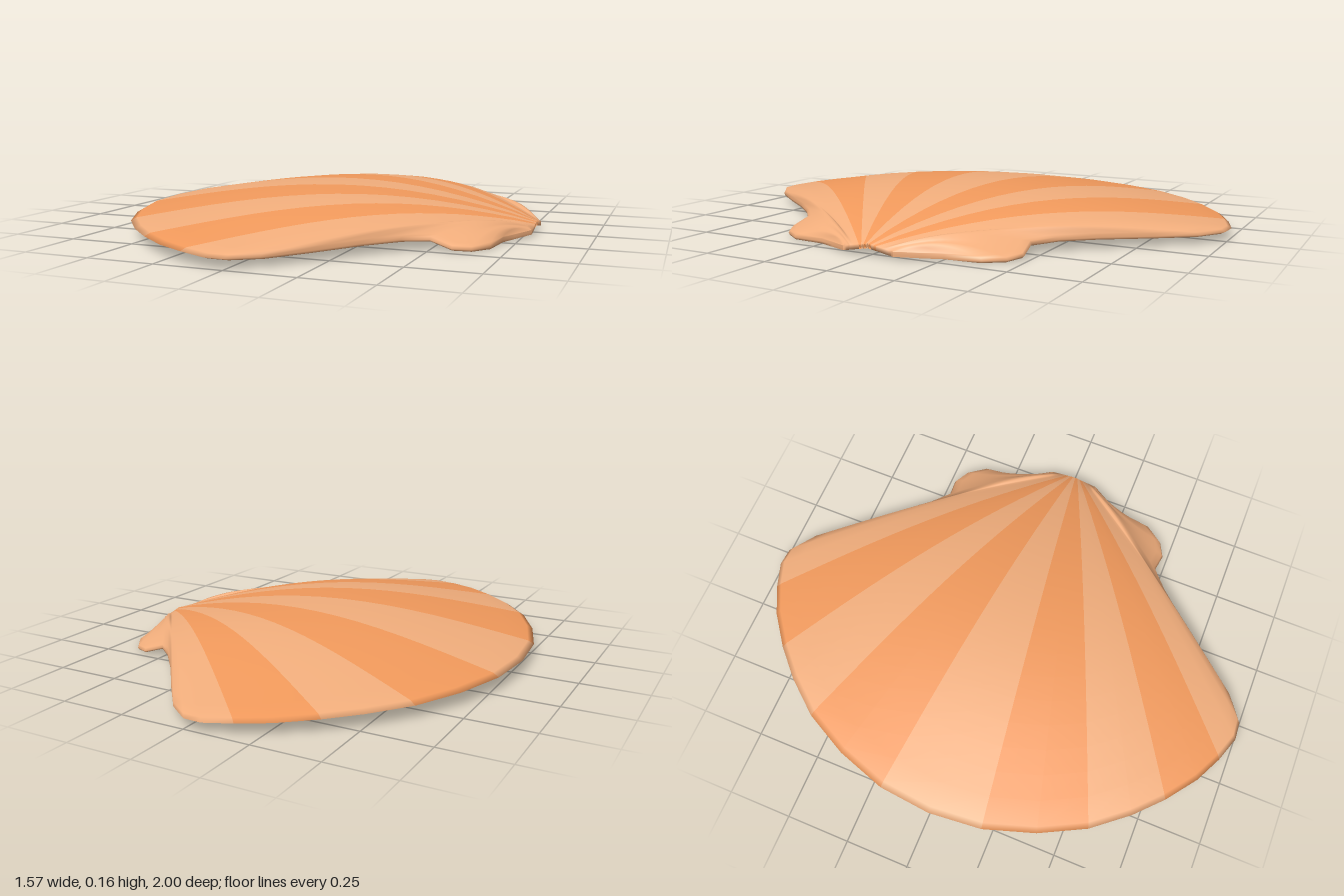
import * as THREE from 'three';

const LIGHT = new THREE.MeshStandardMaterial({ color: 0xf2ae7c });
const DARK = new THREE.MeshStandardMaterial({ color: 0xf29a5c });
const STEPS = 16, THICK = 0.017, HINGE_X = 0.78, HINGE_Z = 0.1;

// Half of the rim, middle to side: x, z, height of the top, bulge along the rib;
// the ribs of the ear also have the x, z of a control point that bends them
const RIM = [
  [-0.79, 0, 0.062, 0.107], [-0.77, 0.21, 0.062, 0.106], [-0.705, 0.41, 0.061, 0.104],
  [-0.615, 0.585, 0.06, 0.1], [-0.505, 0.72, 0.059, 0.095], [-0.4, 0.82, 0.057, 0.088],
  [-0.28, 0.91, 0.054, 0.08], [-0.17, 0.965, 0.051, 0.07], [-0.07, 1, 0.047, 0.06],
  [0, 0.995, 0.046, 0.054], [0.09, 0.93, 0.045, 0.048], [0.2, 0.8, 0.048, 0.044],
  [0.32, 0.65, 0.052, 0.041], [0.42, 0.54, 0.053, 0.039], [0.5, 0.47, 0.047, 0.037],
  [0.58, 0.48, 0.023, 0.034, 0.63, 0.27], [0.64, 0.45, 0.018, 0.03, 0.65, 0.25],
  [0.69, 0.38, 0.018, 0.024, 0.67, 0.23], [0.705, 0.25, 0.02, 0.016, 0.71, 0.185],
  [0.735, 0.18, 0.022, 0.008, 0.745, 0.14], [0.78, 0.1, 0.028, 0],
];
const LAST = RIM.length - 1;
const BAND_EDGES = [1, 3, 5, 7]; // rim points where the colour changes

// Point on the upper surface of a rib, t = 0 at the hinge and 1 at the rim
function ribPoint(index, t) {
  const f = Math.abs(index) / LAST, side = Math.sign(index);
  const [x, z, y, bulge, bendX = (HINGE_X + x) / 2, bendZ = (HINGE_Z * f + z) / 2] = RIM[Math.abs(index)];
  const hingeY = 0.046 - 0.018 * f;
  const rib = new THREE.QuadraticBezierCurve3(
    new THREE.Vector3(HINGE_X, hingeY, side * HINGE_Z * f),
    new THREE.Vector3(bendX, (hingeY + y) / 2, side * bendZ),
    new THREE.Vector3(x, y, side * z),
  );
  const p = rib.getPoint(t);
  p.y += bulge * Math.sin(Math.PI * Math.pow(t, 0.9));
  return p;
}

// Closed thin section: along the top, round the rim and back underneath
function section(index) {
  const top = [];
  for (let j = 0; j <= STEPS; j++) top.push(ribPoint(index, 0.985 * j / STEPS));
  const edge = ribPoint(index, 1);
  edge.y -= THICK / 2;
  const under = top.map((p) => new THREE.Vector3(p.x, p.y - THICK, p.z)).reverse();
  return [...top, edge, ...under];
}

// Vertices and smooth normals of a skin over the sections; strip i joins i and i + 1
function loft(sections) {
  const n = sections[0].length;
  const geometry = new THREE.BufferGeometry().setFromPoints(sections.flat());
  const strips = [];
  for (let i = 0; i < sections.length - 1; i++) {
    const strip = [];
    for (let j = 0; j < n; j++) {
      const a = i * n + j, b = i * n + (j + 1) % n;
      strip.push(a, b, a + n, b, b + n, a + n);
    }
    strips.push(strip);
  }
  geometry.setIndex(strips.flat());
  geometry.computeVertexNormals();
  return { geometry, strips };
}

export function createModel() {
  const group = new THREE.Group();
  group.name = 'scallopShell';

  // One thin shell, split into alternating rays that share their normals;
  // the outermost rays carry the ears beside the hinge
  const sections = [];
  for (let i = -LAST; i <= LAST; i++) sections.push(section(i));
  const { geometry, strips } = loft(sections);
  const edges = [-LAST, ...BAND_EDGES.map((e) => -e).reverse(), ...BAND_EDGES, LAST];
  for (let b = 0; b < edges.length - 1; b++) {
    const ray = geometry.clone();
    ray.setIndex(strips.slice(edges[b] + LAST, edges[b + 1] + LAST).flat());
    const mesh = new THREE.Mesh(ray, b % 2 ? DARK : LIGHT);
    mesh.name = b === 0 ? 'backEarRay' : b === edges.length - 2 ? 'frontEarRay' : 'ray' + b;
    group.add(mesh);
  }
  return group;
}
